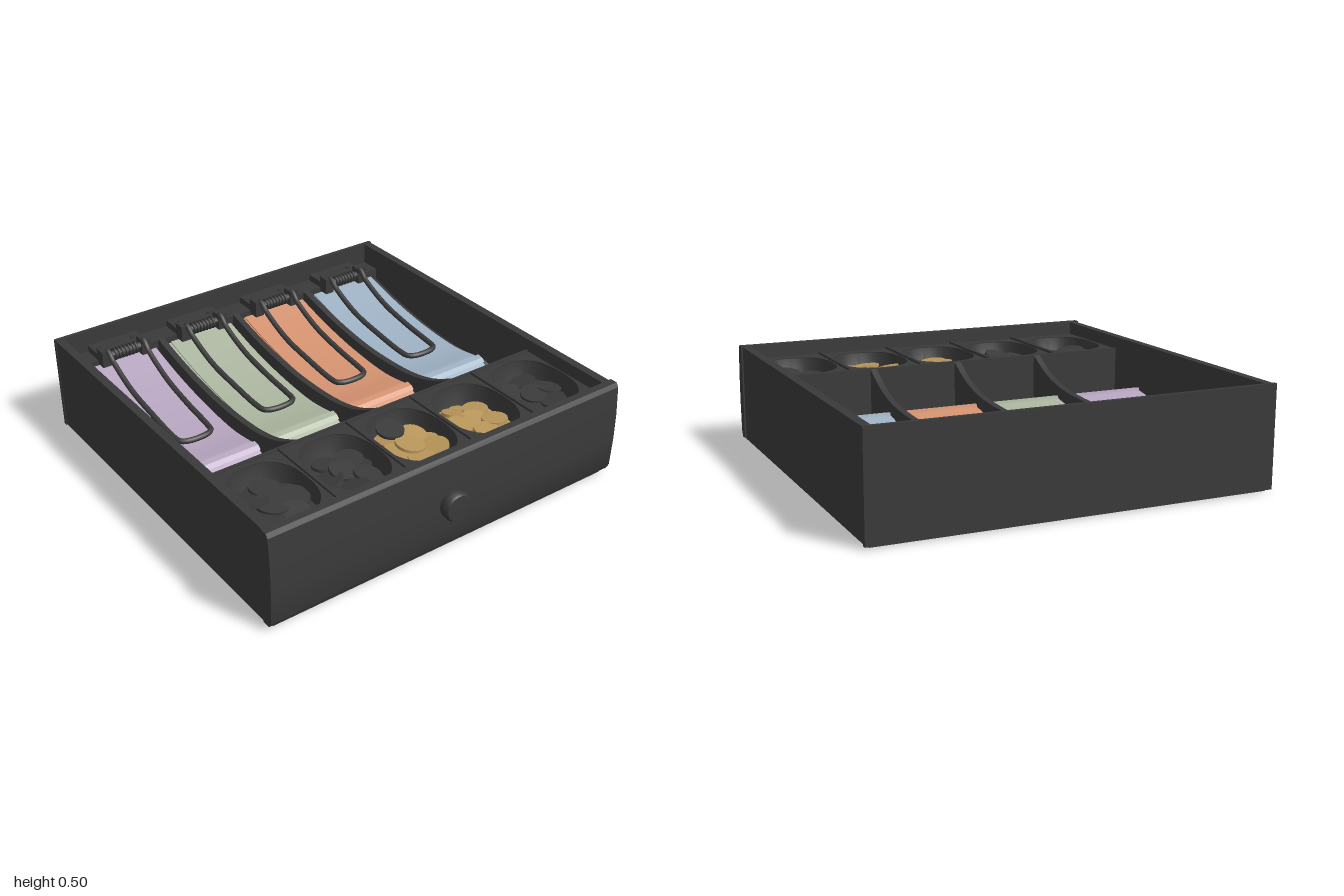
import * as THREE from 'three';
import { toCreasedNormals } from 'three/addons/utils/BufferGeometryUtils.js';

const mat = (name, color, side = THREE.FrontSide) => {
  const m = new THREE.MeshStandardMaterial({ color, side });
  m.name = name;
  return m;
};

export function createModel() {
  const dark = mat('charcoal', 0x3a3a3a, THREE.DoubleSide);
  const gold = mat('brass', 0xb8965a);
  const noteMats = [
    mat('lilac', 0xb7a5bf), mat('sage', 0xabb59e),
    mat('orange', 0xd49270), mat('skyBlue', 0x9db1c3),
  ];
  const model = new THREE.Group();
  model.name = 'cashDrawer';

  let seed = 11;
  const rand = () => (seed = (seed * 16807) % 2147483647) / 2147483647;

  const add = (name, geo, material = dark, parent = model) => {
    const m = new THREE.Mesh(geo, material);
    m.name = name;
    parent.add(m);
    return m;
  };
  // Box given by its limits on each axis
  const box = (name, x0, x1, y0, y1, z0, z1, parent = model) => {
    const g = new THREE.BoxGeometry(x1 - x0, y1 - y0, z1 - z0);
    g.translate((x0 + x1) / 2, (y0 + y1) / 2, (z0 + z1) / 2);
    return add(name, g, dark, parent);
  };
  // Side profile of [z, y] points, stretched from x0 to x1
  const profile = (name, pts, x0, x1, material = dark) => {
    const shape = new THREE.Shape(pts.map(p => new THREE.Vector2(...p)));
    const g = new THREE.ExtrudeGeometry(shape, { depth: x1 - x0, bevelEnabled: false });
    g.rotateY(-Math.PI / 2).translate(x1, 0, 0);
    return add(name, toCreasedNormals(g, 0.5), material);
  };
  const curve = (pts, n) => new THREE.SplineCurve(pts.map(p => new THREE.Vector2(...p)))
    .getPoints(n).map(p => [p.x, p.y]);

  // Outer case
  box('floor', -0.95, 0.95, 0, 0.04, -0.98, 0.9);
  for (const s of [-1, 1]) {
    const a = s * 0.93, b = s * 0.972;
    box('sideWall', Math.min(a, b), Math.max(a, b), 0.015, 0.5, -0.99, 0.88);
  }
  box('backWall', -0.975, 0.975, 0.01, 0.503, -1, -0.98);
  profile('frontPanel', [[0.875, 0.02], [0.915, 0.02], [0.932, 0.05], [0.938, 0.2],
    [0.936, 0.34], [0.925, 0.485], [0.912, 0.505], [0.875, 0.505]], -0.98, 0.98);

  // Round pull knob
  const knob = new THREE.LatheGeometry([[0, 0], [0.055, 0], [0.055, 0.015], [0.066, 0.018],
    [0.07, 0.03], [0.07, 0.058], [0.062, 0.068], [0, 0.07]].map(p => new THREE.Vector2(...p)), 32);
  knob.rotateX(Math.PI / 2);
  add('knob', toCreasedNormals(knob, 0.7)).position.set(-0.04, 0.27, 0.93);

  // Sagging note compartments
  const top = [...curve([[-0.87, 0.36], [-0.65, 0.305], [-0.4, 0.265], [-0.14, 0.25], [0.05, 0.275]], 18),
    [0.09, 0.265], [0.18, 0.2], [0.29, 0.15]];
  const drop = d => top.map(([z, y]) => [z, y - d]);
  profile('noteBed', [[-0.98, 0.04], [0.36, 0.04], [0.36, 0.12], ...drop(0.03).reverse(), [-0.98, 0.33]],
    -0.93, 0.93);
  const dividerTop = curve([[0.36, 0.44], [0.2, 0.36], [0, 0.315], [-0.3, 0.305], [-0.6, 0.34], [-0.87, 0.4]], 20);
  for (const x of [-0.455, -0.005, 0.447])
    profile('noteDivider', [[-0.87, 0.04], [0.36, 0.04], ...dividerTop], x - 0.016, x + 0.016);

  // Stacks of notes with a slightly narrower top sheet and a folded band
  [[-0.9, -0.485], [-0.428, -0.035], [0.022, 0.425], [0.472, 0.892]].forEach(([x0, x1], i) => {
    profile('noteStack', [...drop(0.04), ...drop(0.006).reverse()], x0, x1, noteMats[i]);
    profile('topNote', [...drop(0.01), ...top.slice().reverse()], x0 + 0.03, x1 - 0.03, noteMats[i]);
    profile('noteBand', [[0.05, 0.26], [0.09, 0.25], [0.105, 0.262], [0.085, 0.278], [0.055, 0.283]],
      x0, x1, noteMats[i]);
  });

  // Rear rail carrying the spring clips
  box('clipRail', -0.93, 0.93, 0.3, 0.39, -0.985, -0.87);
  [[-0.675, 0], [-0.225, 0.03], [0.225, 0.01], [0.68, 0.01]].forEach(([x, lean]) => {
    const clip = new THREE.Group();
    clip.name = 'noteClip';
    clip.position.x = x;
    model.add(clip);
    box('clipBase', -0.135, 0.135, 0.39, 0.425, -0.975, -0.868, clip);
    for (const s of [-1, 1]) {
      box('hingeLug', s * 0.11 - 0.025, s * 0.11 + 0.025, 0.37, 0.455, -0.875, -0.815, clip);
      const screw = new THREE.CylinderGeometry(0.012, 0.012, 0.01, 12);
      add('screw', screw, dark, clip).position.set(s * 0.085, 0.428, -0.92);
    }
    const pin = new THREE.CylinderGeometry(0.018, 0.018, 0.22, 12);
    pin.rotateZ(Math.PI / 2);
    add('hingePin', pin, dark, clip).position.set(0, 0.415, -0.84);
    for (let k = -3; k <= 3; k++) {
      const coil = new THREE.TorusGeometry(0.026, 0.007, 6, 14);
      coil.rotateY(Math.PI / 2);
      add('springCoil', coil, dark, clip).position.set(k * 0.019, 0.415, -0.84);
    }
    // Looped wire: half of it is listed, the rest is mirrored
    const half = [[0.1, 0.4, -0.86], [0.1, 0.45, -0.825], [0.098, 0.41, -0.77], [0.097, 0.335, -0.6],
      [0.094, 0.295, -0.4], [0.092, 0.272, -0.21], [0.085, 0.27, -0.165], [0.05, 0.27, -0.143]];
    const pts = [...half, ...half.slice().reverse().map(([a, b, c]) => [-a, b, c])]
      .map(([a, b, c]) => new THREE.Vector3(a + lean * (c + 0.8), b, c));
    const path = new THREE.CatmullRomCurve3(pts, false, 'centripetal');
    add('clipWire', new THREE.TubeGeometry(path, 90, 0.014, 8), dark, clip);
  });

  // Coin tray: plate with five rounded openings, bowls below
  const cupX = [-0.745, -0.37, 0, 0.375, 0.75], cupZ = 0.61, rx = 0.174, rz = 0.215;
  const squarish = (c, s) => Math.pow(Math.abs(c) ** 2.5 + Math.abs(s) ** 2.5, -0.4);
  const plate = new THREE.Shape([[-0.93, -0.88], [0.93, -0.88], [0.93, -0.36], [-0.93, -0.36]]
    .map(p => new THREE.Vector2(...p)));
  for (const x of cupX) {
    const ring = [];
    for (let i = 0; i < 40; i++) {
      const a = -i / 40 * Math.PI * 2, c = Math.cos(a), s = Math.sin(a), f = squarish(c, s);
      ring.push(new THREE.Vector2(x + c * f * rx, -cupZ + s * f * rz));
    }
    plate.holes.push(new THREE.Path(ring));
  }
  const plateGeo = new THREE.ExtrudeGeometry(plate, { depth: 0.015, bevelEnabled: false });
  plateGeo.rotateX(-Math.PI / 2).translate(0, 0.42, 0);
  add('coinTray', plateGeo);
  box('trayWall', -0.93, 0.93, 0.04, 0.44, 0.355, 0.37);
  for (const x of [-0.555, -0.185, 0.187, 0.562]) box('trayRidge', x - 0.008, x + 0.008, 0.42, 0.447, 0.365, 0.88);

  const bowl = new THREE.LatheGeometry([[0, -0.19], [0.5, -0.185], [0.75, -0.16], [0.92, -0.1], [1, 0]]
    .map(p => new THREE.Vector2(...p)), 40);
  const pos = bowl.attributes.position;
  for (let i = 0; i < pos.count; i++) {
    const x = pos.getX(i), z = pos.getZ(i), r = Math.hypot(x, z);
    const f = r > 0 ? squarish(x / r, z / r) : 1;
    pos.setXYZ(i, x * f * rx, pos.getY(i), z * f * rz);
  }
  bowl.computeVertexNormals();

  // Heaps of coins in the bowls
  const coinGeo = new THREE.CylinderGeometry(1, 1, 0.014, 24);
  cupX.forEach((x, cup) => {
    add('coinBowl', bowl).position.set(x, 0.43, cupZ);
    const metal = cup === 2 || cup === 3 ? gold : dark;
    const size = [0.08, 0.066, 0.07, 0.062, 0.064][cup];
    for (let layer = 0; layer < 3; layer++) {
      const n = [8, 7, 5][layer], turn = rand() * 6;
      for (let i = 0; i <= n; i++) {
        const a = turn + i / n * Math.PI * 2;
        const d = i === n ? 0.05 : [0.62, 0.58, 0.5][layer] + rand() * 0.06;
        const coin = add('coin', coinGeo, metal);
        coin.scale.set(size, 1, size);
        coin.position.set(x + Math.cos(a) * d * rx, 0.29 + layer * 0.035 + rand() * 0.022,
          cupZ + Math.sin(a) * d * rz);
        coin.rotation.set((rand() - 0.5) * 0.45, 0, (rand() - 0.5) * 0.45);
      }
    }
  });
  // One odd dark coin in the middle bowl
  const odd = add('oddCoin', coinGeo);
  odd.scale.set(0.066, 1, 0.066);
  odd.position.set(-0.03, 0.405, 0.49);
  odd.rotation.x = 0.15;

  return model;
}
